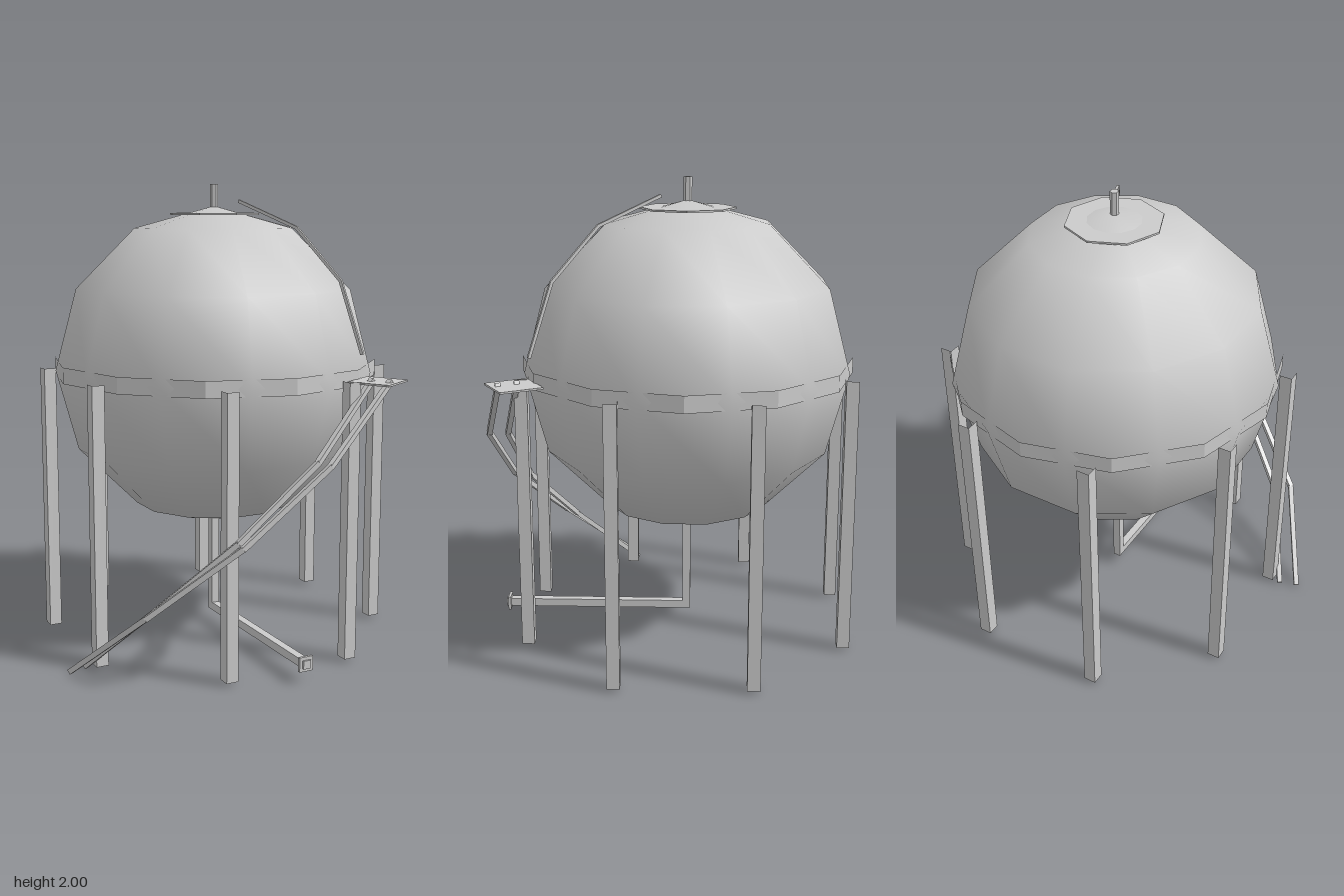
import * as THREE from 'three';

const CX = 0.055, CZ = -0.08; // tank axis
const flat = () => new THREE.MeshStandardMaterial({ color: 0xcccccc, flatShading: true });

function add(parent, name, geometry, x, y, z, material = flat()) {
  const mesh = new THREE.Mesh(geometry, material);
  mesh.name = name;
  mesh.position.set(x, y, z);
  parent.add(mesh);
  return mesh;
}

// Chain of square bars through a list of points
function rail(parent, name, points, size) {
  const group = new THREE.Group();
  group.name = name;
  parent.add(group);
  for (let i = 0; i < points.length - 1; i++) {
    const a = new THREE.Vector3(...points[i]);
    const b = new THREE.Vector3(...points[i + 1]);
    const mid = a.clone().lerp(b, 0.5);
    const bar = add(group, name + 'Bar', new THREE.BoxGeometry(size, size, a.distanceTo(b) + size * 0.25), mid.x, mid.y, mid.z);
    bar.lookAt(b);
  }
}

export function createModel() {
  const model = new THREE.Group();
  model.name = 'sphericalTank';

  // Smooth-shaded low-poly tank with flat sides facing the axes
  const sphere = new THREE.SphereGeometry(0.7075, 12, 6);
  sphere.rotateY(Math.PI / 12);
  add(model, 'tank', sphere, CX, 1.198, CZ, new THREE.MeshStandardMaterial({ color: 0xcccccc }));

  // Open band round the equator; the tank's corners poke through it
  add(model, 'equatorBand', new THREE.CylinderGeometry(0.717, 0.717, 0.07, 12, 1, true), CX, 1.2, CZ);

  // Eight hollow square legs
  for (let i = 0; i < 8; i++) {
    const a = (i + 0.5) * Math.PI / 4;
    const leg = new THREE.CylinderGeometry(0.038, 0.038, 1.185, 4, 1, true);
    leg.rotateY(Math.PI / 4);
    add(model, 'leg', leg, CX + 0.739 * Math.cos(a), 0.605, CZ + 0.739 * Math.sin(a));
  }

  // Crown platform and vent
  add(model, 'crownPlatform', new THREE.CylinderGeometry(0.205, 0.205, 0.008, 8), CX, 1.871, CZ);
  add(model, 'ventPipe', new THREE.CylinderGeometry(0.018, 0.018, 0.14, 6), CX, 1.93, CZ);

  // Rail over the upper half
  rail(model, 'upperRail', [[0.12, 1.925, 0.033], [0.26, 1.815, 0.28], [0.365, 1.6, 0.463], [0.418, 1.3, 0.555]], 0.013);

  // Landing where the stair meets the tank
  const landing = add(model, 'landing', new THREE.BoxGeometry(0.185, 0.008, 0.185), 0.457, 1.191, 0.615);
  landing.rotation.y = Math.PI / 6;

  // Pair of stair stringers winding up to the landing
  rail(model, 'outerStringer', [[-0.763, 0.01, 0.21], [-0.563, 0.305, 0.53], [-0.24, 0.6, 0.735], [0.125, 0.9, 0.783], [0.477, 1.198, 0.675]], 0.022);
  rail(model, 'innerStringer', [[-0.687, 0.01, 0.185], [-0.505, 0.305, 0.475], [-0.22, 0.6, 0.66], [0.118, 0.9, 0.702], [0.435, 1.198, 0.605]], 0.022);

  // Drain pipe with end flange
  add(model, 'drainDrop', new THREE.BoxGeometry(0.035, 0.47, 0.035), CX, 0.295, CZ);
  add(model, 'drainRun', new THREE.BoxGeometry(0.035, 0.035, 0.84), CX, 0.0775, 0.3225);
  add(model, 'drainFlange', new THREE.BoxGeometry(0.062, 0.062, 0.012), CX, 0.0775, 0.728);

  return model;
}
